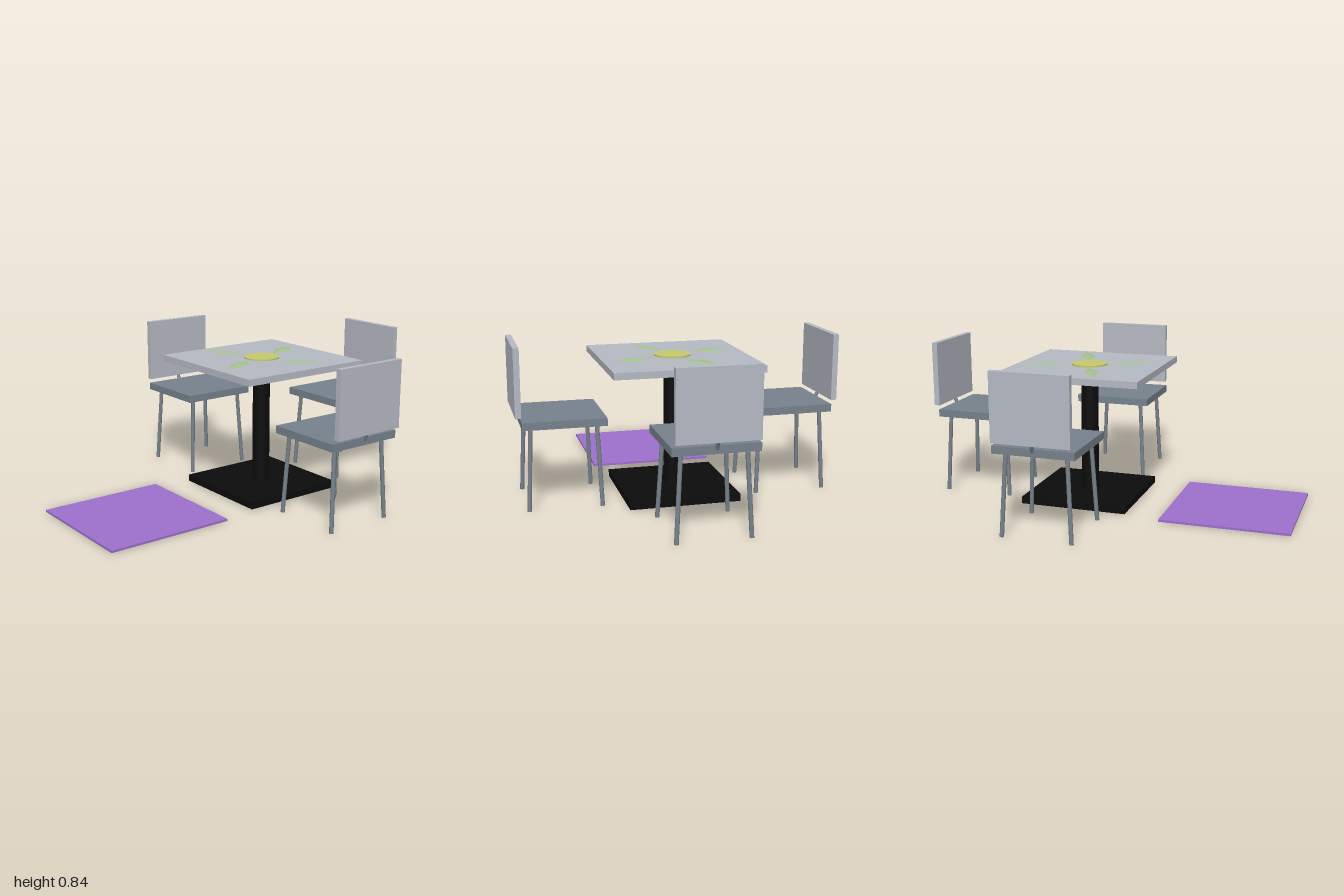
import * as THREE from 'three';

const mat = (name, color, extra = {}) => {
  const m = new THREE.MeshStandardMaterial({ color, ...extra });
  m.name = name;
  return m;
};

export function createModel() {
  const grey = mat('pale grey', 0xb5b9c3);
  const slate = mat('slate', 0x77828c);
  const black = mat('black', 0x0c0c0c);
  const purple = mat('purple', 0x9d70cd);
  const yellow = mat('yellow', 0xc6ca6e);
  const green = mat('leaf green', 0xa3c28e, { side: THREE.DoubleSide, flatShading: true });

  const model = new THREE.Group();
  model.name = 'diningSet';

  const add = (parent, name, geometry, material, x = 0, y = 0, z = 0) => {
    const mesh = new THREE.Mesh(geometry, material);
    mesh.name = name;
    mesh.position.set(x, y, z);
    parent.add(mesh);
    return mesh;
  };
  // Box given by its bottom and top heights
  const slab = (parent, name, material, w, d, y0, y1, x = 0, z = 0) =>
    add(parent, name, new THREE.BoxGeometry(w, y1 - y0, d), material, x, (y0 + y1) / 2, z);
  // Straight round bar between two points
  const bar = (parent, name, material, a, b, r) => {
    const from = new THREE.Vector3(...a), to = new THREE.Vector3(...b);
    const dir = to.clone().sub(from);
    const mesh = add(parent, name, new THREE.CylinderGeometry(r, r, dir.length(), 12), material);
    mesh.position.copy(from).add(to).multiplyScalar(0.5);
    mesh.quaternion.setFromUnitVectors(new THREE.Vector3(0, 1, 0), dir.normalize());
  };

  // Table with square foot, round post and square top
  const table = new THREE.Group();
  table.name = 'table';
  table.position.z = -0.16;
  model.add(table);
  slab(table, 'tableFoot', black, 0.58, 0.58, 0.003, 0.04);
  add(table, 'tablePost', new THREE.CylinderGeometry(0.047, 0.047, 0.66, 16), black, 0, 0.367, 0);
  slab(table, 'tableTop', grey, 0.77, 0.77, 0.695, 0.73);

  // Flower on the table top: round centre and four raised leaves
  add(table, 'flowerCentre', new THREE.CylinderGeometry(0.096, 0.096, 0.009, 32), yellow, 0, 0.7335, 0);
  const rim = [[-0.143, -0.345], [-0.127, -0.208], [-0.032, -0.107], [-0.048, -0.234]];
  const points = [];
  rim.forEach(([x, z], i) => {
    const [x2, z2] = rim[(i + 1) % rim.length];
    points.push(x, 0.732, z, x2, 0.732, z2, -0.0875, 0.74, -0.225);
  });
  const leafGeometry = new THREE.BufferGeometry();
  leafGeometry.setAttribute('position', new THREE.Float32BufferAttribute(points, 3));
  leafGeometry.computeVertexNormals();
  for (let i = 0; i < 4; i++) {
    add(table, 'leaf', leafGeometry, green).rotation.y = i * Math.PI / 2;
  }

  // Chair whose backrest is on its own -z side
  const chair = (name, x, z, turn) => {
    const g = new THREE.Group();
    g.name = name;
    g.position.set(x, 0, z);
    g.rotation.y = turn;
    model.add(g);
    slab(g, 'seat', slate, 0.424, 0.424, 0.428, 0.468);
    slab(g, 'backrest', grey, 0.404, 0.03, 0.488, 0.836, 0, -0.228);
    bar(g, 'backrestSupport', slate, [0, 0.45, -0.205], [0, 0.5, -0.228], 0.01);
    for (const sx of [-1, 1]) for (const sz of [-1, 1]) {
      bar(g, 'leg', slate, [sx * 0.158, 0.435, sz * 0.166], [sx * 0.182, 0.002, sz * 0.186], 0.011);
    }
  };
  chair('backChair', 0, -0.757, 0);
  chair('leftChair', 0.597, -0.16, -Math.PI / 2);
  chair('rightChair', -0.597, -0.16, Math.PI / 2);

  // Floor mat in front of the table
  slab(model, 'floorMat', purple, 0.674, 0.674, 0, 0.012, 0, 0.663);

  return model;
}
